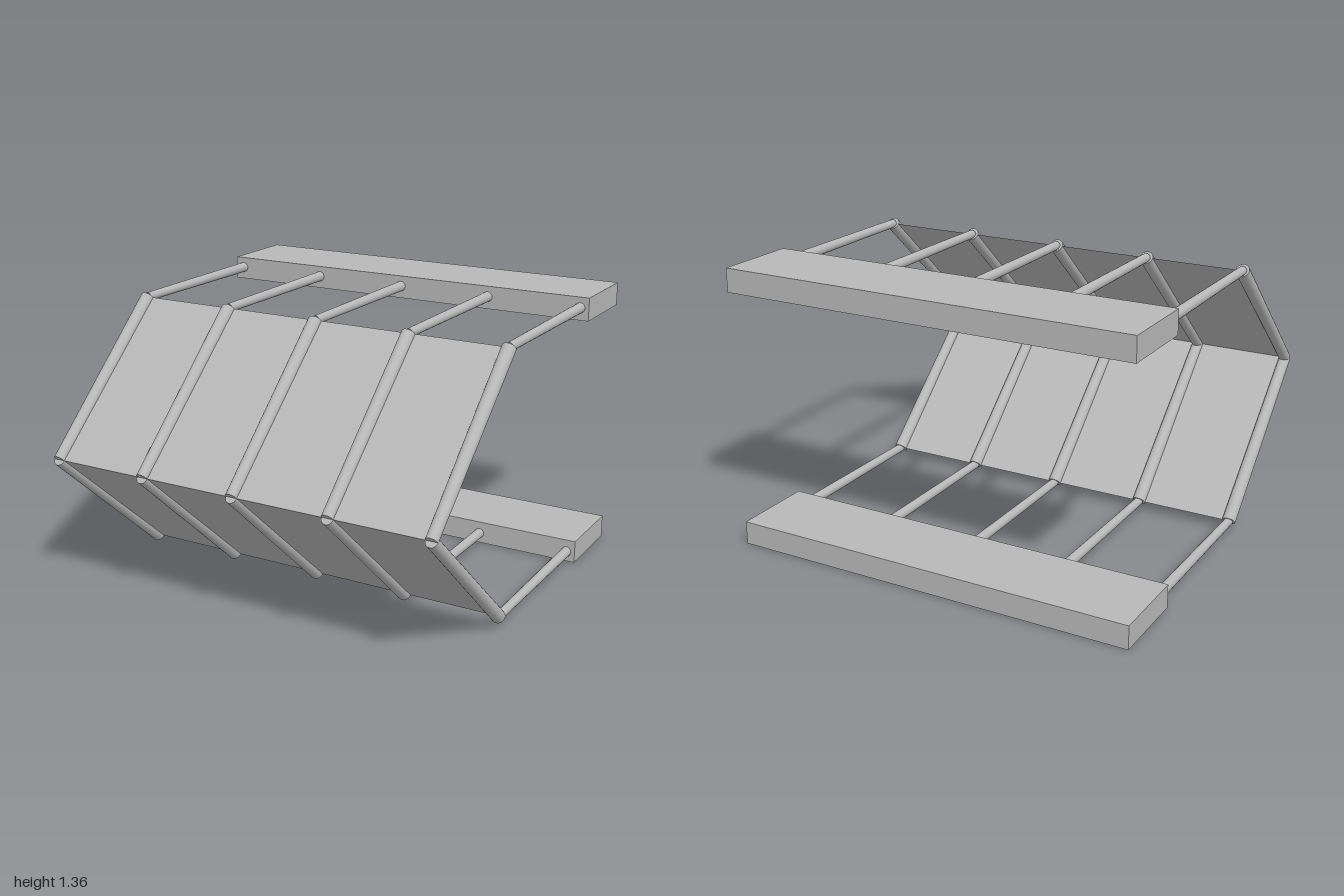
import * as THREE from 'three';

export function createModel() {
  const model = new THREE.Group();
  const grey = new THREE.MeshStandardMaterial({ color: 0xb8b8b8 });
  grey.name = 'grey';
  const panelGrey = grey.clone();
  panelGrey.side = THREE.DoubleSide;

  const midY = 0.678, rise = 0.628; // apex height and half the gap between rod rows
  const apex = new THREE.Vector3(0, midY, 0.965);
  const up = new THREE.Vector3(0, 1, 0);

  // Tapered round rod between two points
  function rod(name, a, b, ra, rb) {
    const dir = b.clone().sub(a);
    const mesh = new THREE.Mesh(new THREE.CylinderGeometry(rb, ra, dir.length(), 20), grey);
    mesh.name = name;
    mesh.position.copy(a).add(b).multiplyScalar(0.5);
    mesh.quaternion.setFromUnitVectors(up, dir.normalize());
    return mesh;
  }

  for (const s of [1, -1]) {
    const level = s > 0 ? 'upper' : 'lower';
    const knee = new THREE.Vector3(0, midY + s * rise, 0.26);
    const anchor = new THREE.Vector3(0, midY + s * (rise - 0.002), -0.6);

    // Rear beam
    const beam = new THREE.Mesh(new THREE.BoxGeometry(2, 0.113, 0.4), grey);
    beam.name = level + 'Beam';
    beam.position.set(0, midY + s * 0.6215, -0.78);
    model.add(beam);

    // Sloping sheet between the knees and the front ridge
    const slope = apex.clone().sub(knee);
    const panel = new THREE.Mesh(new THREE.PlaneGeometry(1.92, slope.length()), panelGrey);
    panel.name = level + 'Panel';
    panel.position.copy(knee).add(apex).multiplyScalar(0.5);
    panel.quaternion.setFromUnitVectors(up, slope.normalize());
    model.add(panel);

    // Five ribs, each a horizontal strut and a sloping strut
    for (let i = -2; i <= 2; i++) {
      const rib = new THREE.Group();
      rib.name = level + 'Rib';
      rib.position.x = i * 0.478;
      rib.add(rod('horizontalStrut', anchor, knee, 0.025, 0.021));
      rib.add(rod('slopingStrut', knee, apex, 0.033, 0.028));
      model.add(rib);
    }
  }
  return model;
}
